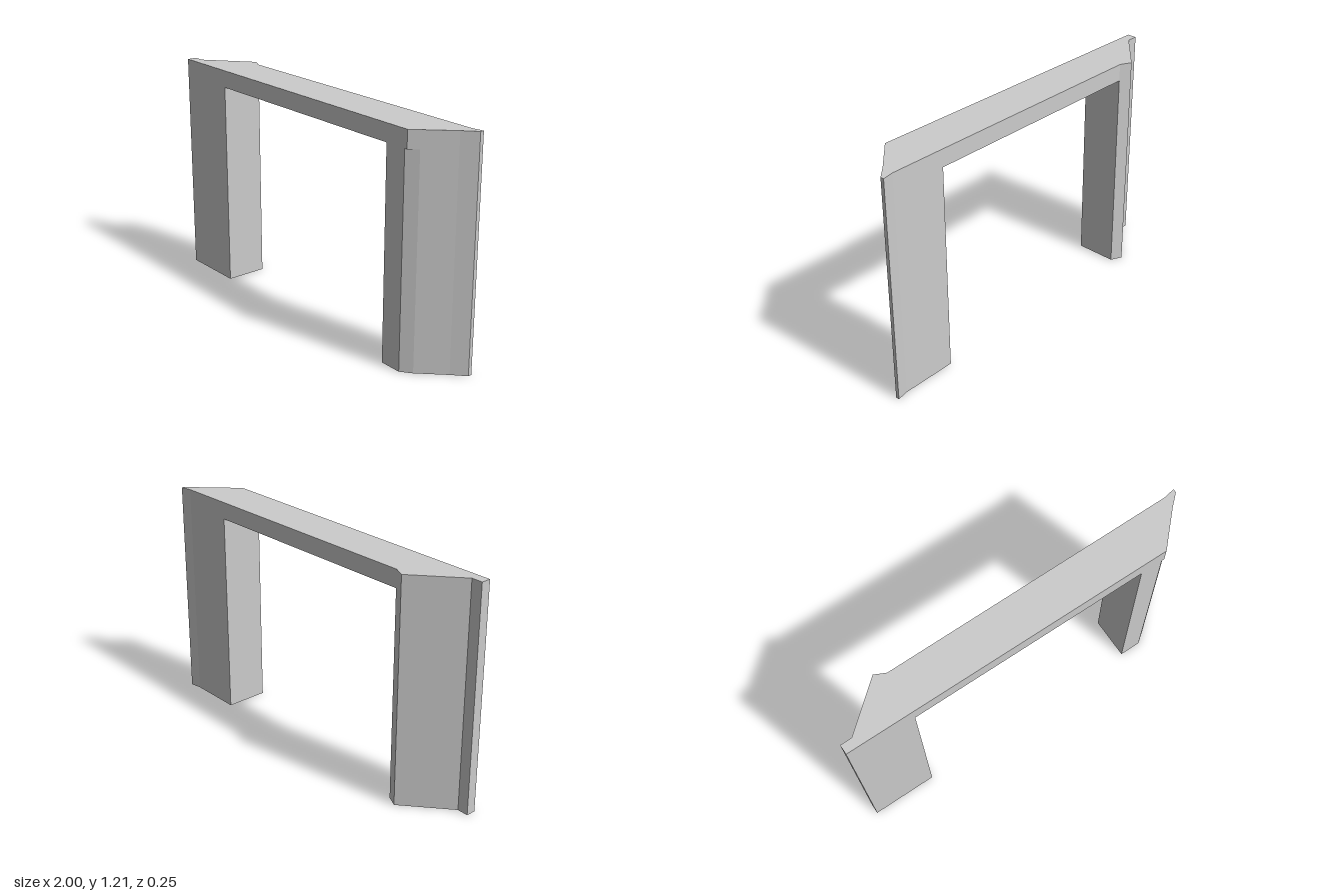
import * as THREE from 'three';

const HEIGHT = 1.205, OPENING = 1.113;
const material = new THREE.MeshStandardMaterial({ color: 0xcccccc, flatShading: true });

// Extrudes a plan outline of [x, z] points upward from y0 to y1
function prism(name, plan, y0, y1) {
  const shape = new THREE.Shape(plan.map(([x, z]) => new THREE.Vector2(x, -z)));
  const geometry = new THREE.ExtrudeGeometry(shape, { depth: y1 - y0, bevelEnabled: false });
  geometry.rotateX(-Math.PI / 2).translate(0, y0, 0);
  const mesh = new THREE.Mesh(geometry, material);
  mesh.name = name;
  return mesh;
}

export function createModel() {
  const group = new THREE.Group();
  group.name = 'doorway';

  // Slanted outer ends of the wall, listed in plan
  const rightEnd = [[-0.645, -0.098], [-0.705, -0.127], [-0.94, 0.075], [-1, 0.075], [-1, 0.126]];
  const leftEnd = [[0.935, -0.04], [1, -0.10], [1, -0.12], [0.94, -0.108]];

  // Legs either side of the opening
  group.add(prism('rightLeg', [...rightEnd, [-0.645, 0.126]], 0, OPENING));
  group.add(prism('leftLeg',
    [[0.64, 0.126], [0.76, 0.126], [0.815, 0.084], ...leftEnd, [0.64, -0.106]], 0, OPENING));

  // Lintel spanning both legs, its front corner slightly proud of the left leg
  group.add(prism('lintel', [...rightEnd, [0.775, 0.126], ...leftEnd, [0.64, -0.106]], OPENING, HEIGHT));

  return group;
}
